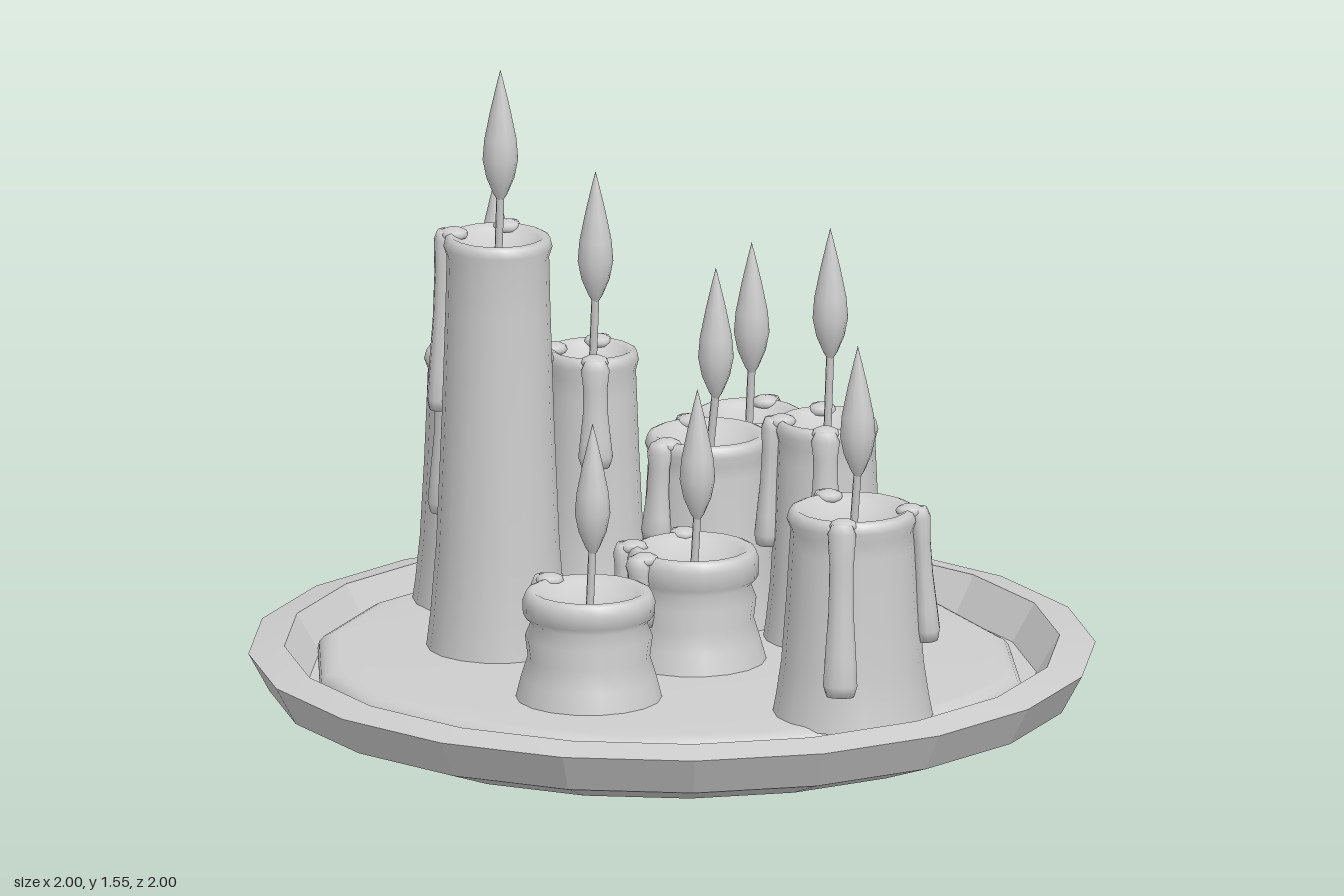
import * as THREE from 'three';
import { toCreasedNormals } from 'three/addons/utils/BufferGeometryUtils.js';

const grey = new THREE.MeshStandardMaterial({ color: 0xcccccc });
grey.name = 'plain grey';

const POOL_Y = 0.14;
const V2 = (p) => new THREE.Vector2(p[0], p[1]);

function mesh(geometry, name) {
  const m = new THREE.Mesh(geometry, grey);
  m.name = name;
  return m;
}

// Faceted round tray with a sloping rim
function makeTray() {
  const profile = [[0, 0], [0.8, 0], [0.95, 0.055], [1, 0.147], [0.915, 0.165], [0.86, 0.075], [0, 0.07]];
  const g = new THREE.LatheGeometry(profile.map(V2), 20);
  return mesh(toCreasedNormals(g, 0.12), 'tray');
}

// Irregular sheet of melted wax with a rounded edge
function makePool() {
  const outline = [[-0.38, -0.81], [-0.1, -0.82], [0.39, -0.71], [0.7, -0.5], [0.79, -0.28], [0.82, 0],
    [0.73, 0.32], [0.55, 0.59], [0.33, 0.73], [0.1, 0.8], [-0.12, 0.83], [-0.38, 0.76], [-0.66, 0.54],
    [-0.8, 0.27], [-0.84, 0], [-0.8, -0.22], [-0.66, -0.51]];
  const shape = new THREE.Shape(outline.map(([x, z]) => new THREE.Vector2(x, -z)));
  const g = new THREE.ExtrudeGeometry(shape, {
    depth: 0.01, bevelThickness: 0.04, bevelSize: 0.05, bevelOffset: -0.05, bevelSegments: 4,
  });
  g.rotateX(-Math.PI / 2);
  g.translate(0, POOL_Y - 0.05, 0);
  return mesh(toCreasedNormals(g, 0.7), 'waxPool');
}

// Outer wall of a candle from foot to rim, as [radius, height]
function wallProfile(c) {
  const { r, base, top } = c;
  if (c.squat) {
    return [[base, POOL_Y - 0.01], [r * 1.02, 0.19], [r * 0.92, 0.24], [r * 0.96, 0.29], [r * 0.87, 0.325],
      [r * 0.99, 0.342], [r, top - 0.025], [r * 0.95, top - 0.004]];
  }
  const h = top - POOL_Y;
  const neck = r * 0.93;
  const at = (k) => neck + (base - neck) * k;
  return [[base, POOL_Y - 0.01], [at(0.78), POOL_Y + h * 0.08], [at(0.5), POOL_Y + h * 0.25],
    [at(0.24), POOL_Y + h * 0.55], [at(0.06), POOL_Y + h * 0.82], [neck, top - 0.05],
    [r * 0.99, top - 0.025], [r * 0.95, top - 0.004]];
}

function radiusAt(wall, y) {
  for (let i = 1; i < wall.length; i++) {
    const [r0, y0] = wall[i - 1], [r1, y1] = wall[i];
    if (y <= y1) return r0 + (r1 - r0) * (y - y0) / (y1 - y0);
  }
  return wall[wall.length - 1][0];
}

// Run of wax: a cap folded over the rim, a narrow neck and a heavy foot
function makeDrip(wall, top, bottom, degrees) {
  const group = new THREE.Group();
  group.name = 'waxDrip';
  const upper = new THREE.Vector3(radiusAt(wall, top - 0.05) + 0.012, top + 0.004, 0);
  const lower = new THREE.Vector3(radiusAt(wall, bottom) + 0.014, bottom, 0);
  const axis = upper.clone().sub(lower);
  const len = axis.length();
  const profile = [[0, 0], [0.033, 0.004], [0.041, 0.03], [0.037, len * 0.25], [0.03, len * 0.5],
    [0.029, len * 0.75], [0.034, len - 0.025], [0.024, len - 0.003], [0, len]];
  const run = mesh(new THREE.LatheGeometry(profile.map(V2), 10), 'dripRun');
  run.scale.x = 0.75;
  run.position.copy(lower);
  run.rotation.z = Math.atan2(-axis.x, axis.y);
  const cap = mesh(new THREE.SphereGeometry(1, 10, 6), 'dripCap');
  cap.scale.set(0.035, 0.016, 0.034);
  cap.position.set(upper.x - 0.022, top - 0.006, 0);
  group.add(run, cap);
  group.rotation.y = -THREE.MathUtils.degToRad(degrees);
  return group;
}

// Candle with hollowed top, wick, flame and drips
function makeCandle(c) {
  const group = new THREE.Group();
  group.name = 'candle';
  const wall = wallProfile(c);
  const { r, top } = c;
  const bowl = [[r * 0.86, top + 0.002], [r * 0.74, top - 0.008], [r * 0.55, top - 0.028],
    [r * 0.25, top - 0.04], [0, top - 0.042]];
  group.add(mesh(new THREE.LatheGeometry([...wall, ...bowl].map(V2), 18), 'candleBody'));

  const flameBase = c.tip - 0.33;
  const [fx, fz] = c.flame;
  const foot = new THREE.Vector3(fx * 0.2, top - 0.05, fz * 0.2);
  const head = new THREE.Vector3(fx, flameBase + 0.03, fz);
  const wickPath = new THREE.LineCurve3(foot, head);
  group.add(mesh(new THREE.TubeGeometry(wickPath, 1, 0.01, 6), 'wick'));

  const teardrop = [[0, 0], [0.016, 0.025], [0.033, 0.065], [0.042, 0.11], [0.038, 0.16],
    [0.024, 0.23], [0.01, 0.29], [0, 0.33]];
  const flame = mesh(new THREE.LatheGeometry(teardrop.map(V2), 10), 'flame');
  flame.position.set(fx, flameBase, fz);
  group.add(flame);

  for (const [degrees, bottom] of c.drips) group.add(makeDrip(wall, top, bottom, degrees));
  group.position.set(c.x, 0, c.z);
  return group;
}

// Drips are [angle from +x towards +z, height of the lower end]
const candles = [
  { x: -0.375, z: -0.535, r: 0.135, base: 0.16, top: 0.55, tip: 0.97, flame: [0.02, 0.005],
    drips: [[-120, 0.3], [57, 0.32]] },
  { x: -0.645, z: -0.28, r: 0.112, base: 0.135, top: 0.69, tip: 1.13, flame: [0.02, 0.005],
    drips: [[35, 0.43], [-132, 0.4], [144, 0.46]] },
  { x: -0.635, z: 0.04, r: 0.155, base: 0.182, top: 0.75, tip: 1.17, flame: [0.022, 0],
    drips: [[78, 0.38], [-140, 0.5]] },
  { x: -0.18, z: -0.255, r: 0.15, base: 0.18, top: 0.59, tip: 1.0, flame: [0.03, 0],
    drips: [[-160, 0.35], [87, 0.35]] },
  { x: 0.125, z: -0.367, r: 0.124, base: 0.15, top: 0.67, tip: 1.14, flame: [0.015, 0],
    drips: [[-146, 0.4], [130, 0.36], [40, 0.42]] },
  { x: 0.08, z: 0, r: 0.155, base: 0.175, top: 0.41, tip: 0.8, flame: [0.015, 0], squat: true,
    drips: [[-150, 0.22], [92, 0.24], [140, 0.2]] },
  { x: 0.675, z: 0, r: 0.157, base: 0.19, top: 0.635, tip: 1.035, flame: [0.02, 0],
    drips: [[48, 0.22], [-165, 0.33], [-50, 0.31]] },
  { x: -0.3, z: 0.285, r: 0.13, base: 0.17, top: 1.14, tip: 1.55, flame: [0.013, 0.003],
    drips: [[150, 0.7], [-130, 0.84]] },
  { x: 0.188, z: 0.405, r: 0.157, base: 0.175, top: 0.4, tip: 0.81, flame: [0.014, 0], squat: true,
    drips: [[180, 0.19]] },
];

export function createModel() {
  const model = new THREE.Group();
  model.name = 'candleTray';
  model.add(makeTray(), makePool());
  for (const c of candles) model.add(makeCandle(c));
  return model;
}
